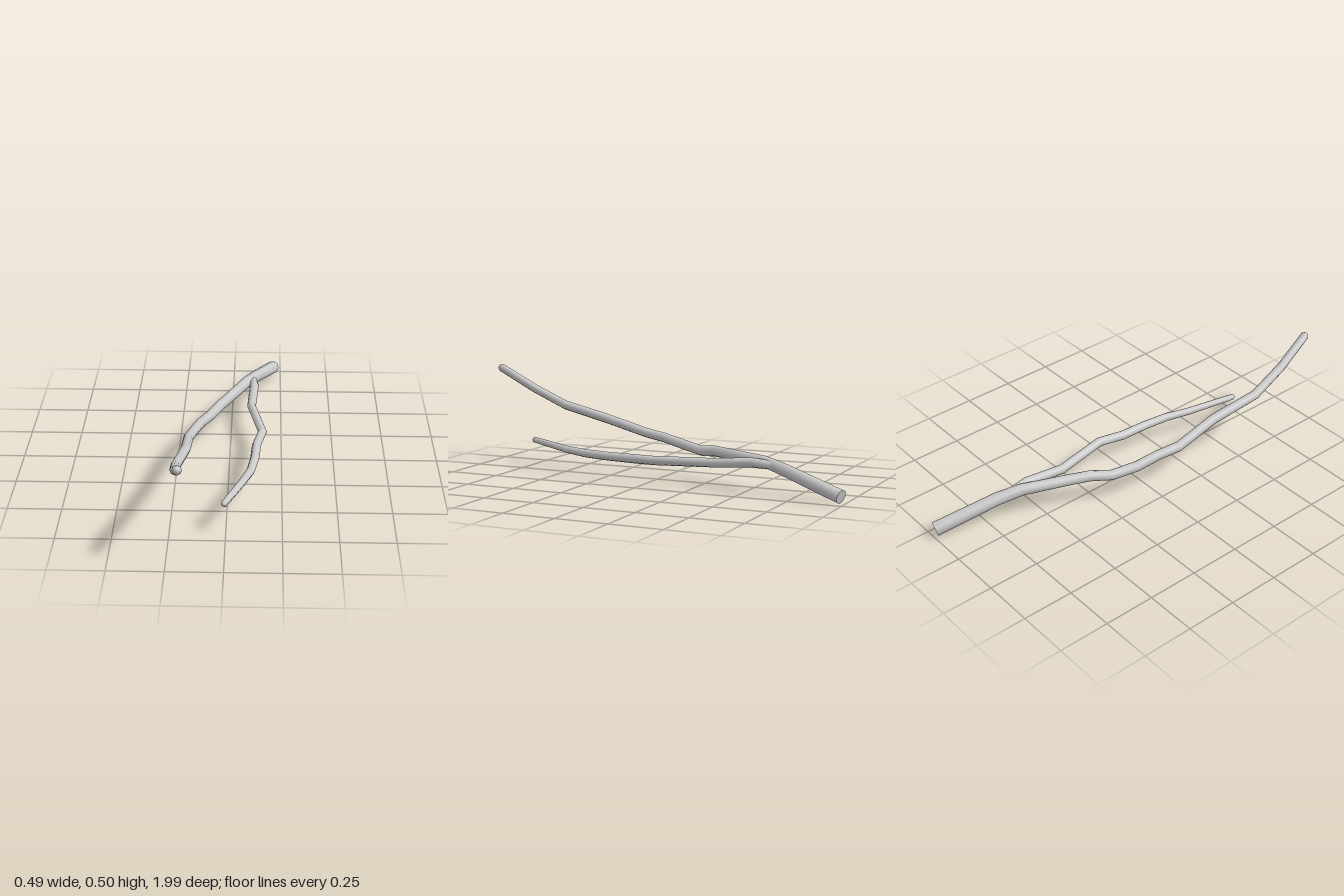
import * as THREE from 'three';

const SIDES = 8;

// Sweeps a tapering ring along points [x, y, z, radius]; flat start, blunt cone at the tip
function limb(name, points, material) {
  const centres = points.map(p => new THREE.Vector3(p[0], p[1], p[2]));
  const last = centres.length - 1;
  const position = [], index = [];
  const add = v => position.push(v.x, v.y, v.z) / 3 - 1;

  const tangentAt = i => {
    const t = new THREE.Vector3();
    if (i > 0) t.add(centres[i].clone().sub(centres[i - 1]).normalize());
    if (i < last) t.add(centres[i + 1].clone().sub(centres[i]).normalize());
    return t.normalize();
  };
  const ring = (i, scale = 1, shift = 0) => {
    const t = tangentAt(i);
    const side = new THREE.Vector3(0, 1, 0).cross(t).normalize();
    const up = t.clone().cross(side);
    const first = position.length / 3;
    for (let k = 0; k < SIDES; k++) {
      const a = (k / SIDES) * Math.PI * 2;
      const r = points[i][3] * scale;
      add(centres[i].clone().addScaledVector(t, shift)
        .addScaledVector(side, Math.cos(a) * r).addScaledVector(up, Math.sin(a) * r));
    }
    return first;
  };
  const bridge = (a, b) => {
    for (let k = 0; k < SIDES; k++) {
      const n = (k + 1) % SIDES;
      index.push(a + k, a + n, b + n, a + k, b + n, b + k);
    }
  };

  // Bark surface
  let previous = ring(0);
  for (let i = 1; i <= last; i++) {
    const next = ring(i);
    bridge(previous, next);
    previous = next;
  }

  // Blunt tip
  const r = points[last][3];
  const collar = ring(last, 0.5, r * 0.6);
  bridge(previous, collar);
  const apex = add(centres[last].clone().addScaledVector(tangentAt(last), r * 0.8));
  for (let k = 0; k < SIDES; k++) index.push(collar + k, collar + (k + 1) % SIDES, apex);

  // Cut end, with its own vertices so the rim stays sharp
  const cut = ring(0);
  const hub = add(centres[0]);
  for (let k = 0; k < SIDES; k++) index.push(cut + (k + 1) % SIDES, cut + k, hub);

  const geometry = new THREE.BufferGeometry();
  geometry.setAttribute('position', new THREE.Float32BufferAttribute(position, 3));
  geometry.setIndex(index);
  geometry.computeVertexNormals();
  const mesh = new THREE.Mesh(geometry, material);
  mesh.name = name;
  return mesh;
}

export function createModel() {
  const group = new THREE.Group();
  group.name = 'forkedBranch';
  const bark = new THREE.MeshStandardMaterial({ color: 0xcccccc });

  // Thick cut end at the back, rising to the front tip
  group.add(limb('mainBranch', [
    [0.209, 0.034, -0.985, 0.034],
    [0.12, 0.117, -0.69, 0.031],
    [0.077, 0.14, -0.58, 0.028],
    [-0.02, 0.147, -0.355, 0.026],
    [-0.055, 0.149, -0.28, 0.026],
    [-0.102, 0.137, -0.19, 0.025],
    [-0.145, 0.155, -0.07, 0.025],
    [-0.165, 0.178, 0.04, 0.024],
    [-0.191, 0.192, 0.15, 0.024],
    [-0.191, 0.25, 0.37, 0.024],
    [-0.221, 0.3, 0.62, 0.023],
    [-0.212, 0.38, 0.8, 0.022],
    [-0.19, 0.48, 0.98, 0.021],
  ], bark));

  // Thinner side shoot, starting inside the main branch
  group.add(limb('sideBranch', [
    [0.102, 0.13, -0.64, 0.02],
    [0.112, 0.138, -0.53, 0.023],
    [0.101, 0.121, -0.33, 0.022],
    [0.157, 0.12, -0.055, 0.022],
    [0.13, 0.116, 0.07, 0.022],
    [0.122, 0.117, 0.21, 0.021],
    [0.105, 0.119, 0.33, 0.02],
    [0.066, 0.123, 0.45, 0.018],
    [-0.007, 0.147, 0.68, 0.015],
  ], bark));

  return group;
}
